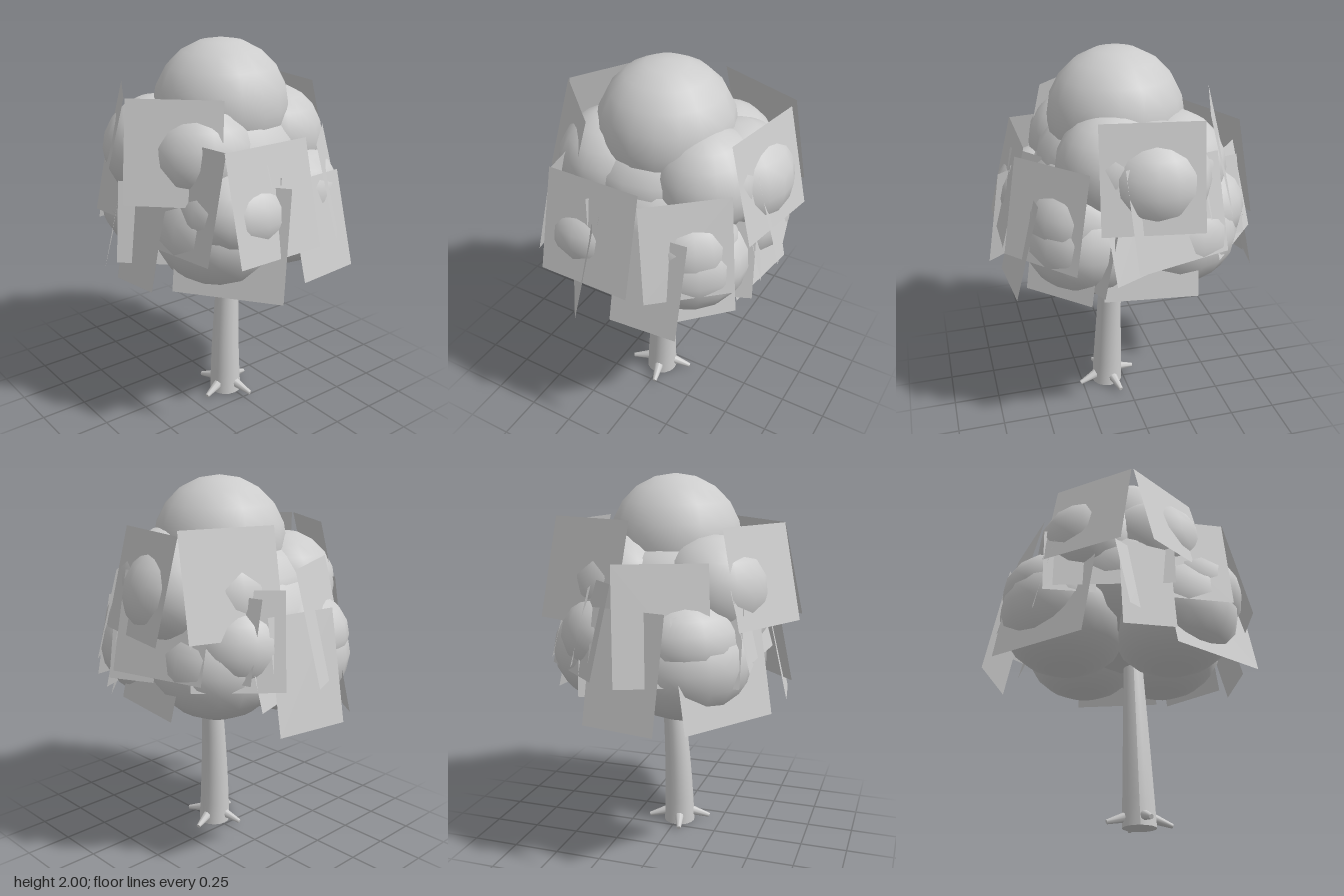
import * as THREE from 'three';

export function createModel() {
  const tree = new THREE.Group();
  tree.name = 'tree';
  const grey = new THREE.MeshStandardMaterial({ color: 0xcccccc, side: THREE.DoubleSide });
  grey.name = 'plain grey';

  function add(name, geometry, parent = tree) {
    const mesh = new THREE.Mesh(geometry, grey);
    mesh.name = name;
    parent.add(mesh);
    return mesh;
  }
  function group(name) {
    const g = new THREE.Group();
    g.name = name;
    tree.add(g);
    return g;
  }

  // Trunk: a tapering cylinder bent along a gentle lean
  const trunk = new THREE.CylinderGeometry(0.045, 0.088, 1.1, 16, 8);
  trunk.translate(0, 0.55, 0);
  const p = trunk.attributes.position;
  for (let i = 0; i < p.count; i++) {
    const y = p.getY(i);
    p.setX(i, p.getX(i) + 0.098 - 0.027 * y);
    p.setZ(i, p.getZ(i) + 0.012 - 0.06 * y * y);
  }
  trunk.computeVertexNormals();
  add('trunk', trunk);

  // Roots: four short tapered pegs around the foot
  const roots = group('roots');
  for (let i = 0; i < 4; i++) {
    const a = 0.27 + (i * Math.PI) / 2;
    const out = new THREE.Vector3(Math.sin(a), -0.3, Math.cos(a)).normalize();
    const root = add('root', new THREE.CylinderGeometry(0.012, 0.03, 0.13, 8), roots);
    root.quaternion.setFromUnitVectors(new THREE.Vector3(0, 1, 0), out);
    root.position.set(0.1 + Math.sin(a) * 0.112, 0.04, 0.012 + Math.cos(a) * 0.112);
  }

  // Canopy: rounded clumps [x, y, z, horizontal radius, vertical radius]
  const canopy = group('canopy');
  const clumps = [
    // crown and core
    [0.04, 1.65, 0.005, 0.355, 0.35],
    [0, 1.26, 0, 0.53, 0.38],
    [0.01, 1.42, 0.02, 0.45, 0.31],
    // broad underside lobes
    [-0.29, 1.09, 0.15, 0.36, 0.31],
    [0.27, 1.09, 0.17, 0.36, 0.31],
    [0.24, 1.1, -0.22, 0.35, 0.3],
    [-0.2, 1.1, -0.24, 0.34, 0.3],
    // upper ring
    [-0.05, 1.43, -0.34, 0.3, 0.28],
    [-0.2, 1.42, -0.2, 0.28, 0.29],
    [-0.16, 1.43, 0.27, 0.29, 0.28],
    [0.17, 1.45, 0.24, 0.29, 0.28],
    [0.13, 1.47, -0.26, 0.28, 0.28],
    // lower ring
    [-0.35, 1.2, 0.17, 0.29, 0.24],
    [0.37, 1.2, 0.19, 0.29, 0.24],
    [0.29, 1.21, -0.24, 0.28, 0.26],
    [-0.31, 1.2, -0.22, 0.27, 0.25],
  ];
  for (const [x, y, z, r, h] of clumps) {
    const clump = add('foliageClump', new THREE.SphereGeometry(1, 18, 10), canopy);
    clump.position.set(x, y, z);
    clump.scale.set(r, h, r);
  }

  // Leaf card: a flat quad leaning outward from its top edge
  const cards = group('leafCards');
  function card(ax, az, bx, bz, top, bottom, out) {
    const len = Math.hypot(bx - ax, bz - az);
    let nx = -(bz - az) / len, nz = (bx - ax) / len;
    if (nx * (ax + bx) + nz * (az + bz) < 0) { nx = -nx; nz = -nz; }
    const ox = nx * out, oz = nz * out;
    const g = new THREE.BufferGeometry();
    g.setAttribute('position', new THREE.Float32BufferAttribute([
      ax, top, az, bx, top, bz, bx + ox, bottom, bz + oz, ax + ox, bottom, az + oz,
    ], 3));
    // wind the quad so that its front faces outward
    const outward = (bx - ax) * nz - (bz - az) * nx > 0;
    g.setIndex(outward ? [0, 2, 1, 0, 3, 2] : [0, 1, 2, 0, 2, 3]);
    g.computeVertexNormals();
    add('leafCard', g, cards);
  }

  // Upper and middle cards
  card(-0.25, -0.53, 0.24, -0.45, 1.76, 1.25, 0.13);
  card(-0.265, -0.545, -0.43, -0.08, 1.79, 1.28, 0.13);
  card(-0.6, -0.11, -0.42, 0.32, 1.6, 1.03, 0.14);
  card(-0.35, 0.365, 0.045, 0.59, 1.76, 1.27, 0.12);
  card(0.055, 0.59, 0.385, 0.25, 1.76, 1.27, 0.13);
  card(0.54, -0.13, 0.54, 0.37, 1.56, 1.03, 0.135);
  card(0.29, -0.49, 0.59, -0.155, 1.53, 1.05, 0.12);
  card(0.09, 0.43, 0.54, 0.36, 1.56, 1.03, 0.12);
  card(-0.36, 0.41, 0.27, 0.45, 1.5, 1.1, 0.1);
  card(-0.56, -0.13, -0.26, -0.47, 1.5, 1.03, 0.12);
  card(0.135, -0.545, -0.365, -0.405, 1.56, 1.07, 0.13);

  // Lower skirt cards
  card(-0.59, 0.18, -0.13, 0.5, 1.36, 0.81, 0.12);
  card(-0.02, 0.52, 0.24, 0.48, 1.36, 0.83, 0.12);
  card(0.2, 0.39, 0.655, 0.055, 1.36, 0.81, 0.12);
  card(-0.61, 0.16, -0.54, -0.23, 1.38, 0.81, 0.12);
  card(0.55, -0.02, 0.52, -0.38, 1.35, 0.86, 0.13);
  card(0.5, -0.19, 0.22, -0.46, 1.35, 0.86, 0.12);
  card(0.22, -0.4, -0.25, -0.46, 1.35, 0.86, 0.12);

  // Slanted cards crossing the ring, leaving loose corners
  for (let i = 0; i < 9; i++) {
    const a = 0.35 + (i * Math.PI * 2) / 9;
    const b = a + (i % 2 ? 0.42 : -0.42);
    const top = 1.33 + 0.07 * (i % 3);
    card(Math.sin(a) * 0.42, Math.cos(a) * 0.42, Math.sin(b) * 0.59, Math.cos(b) * 0.59,
      top, top - 0.4, 0.1);
  }
  return tree;
}
